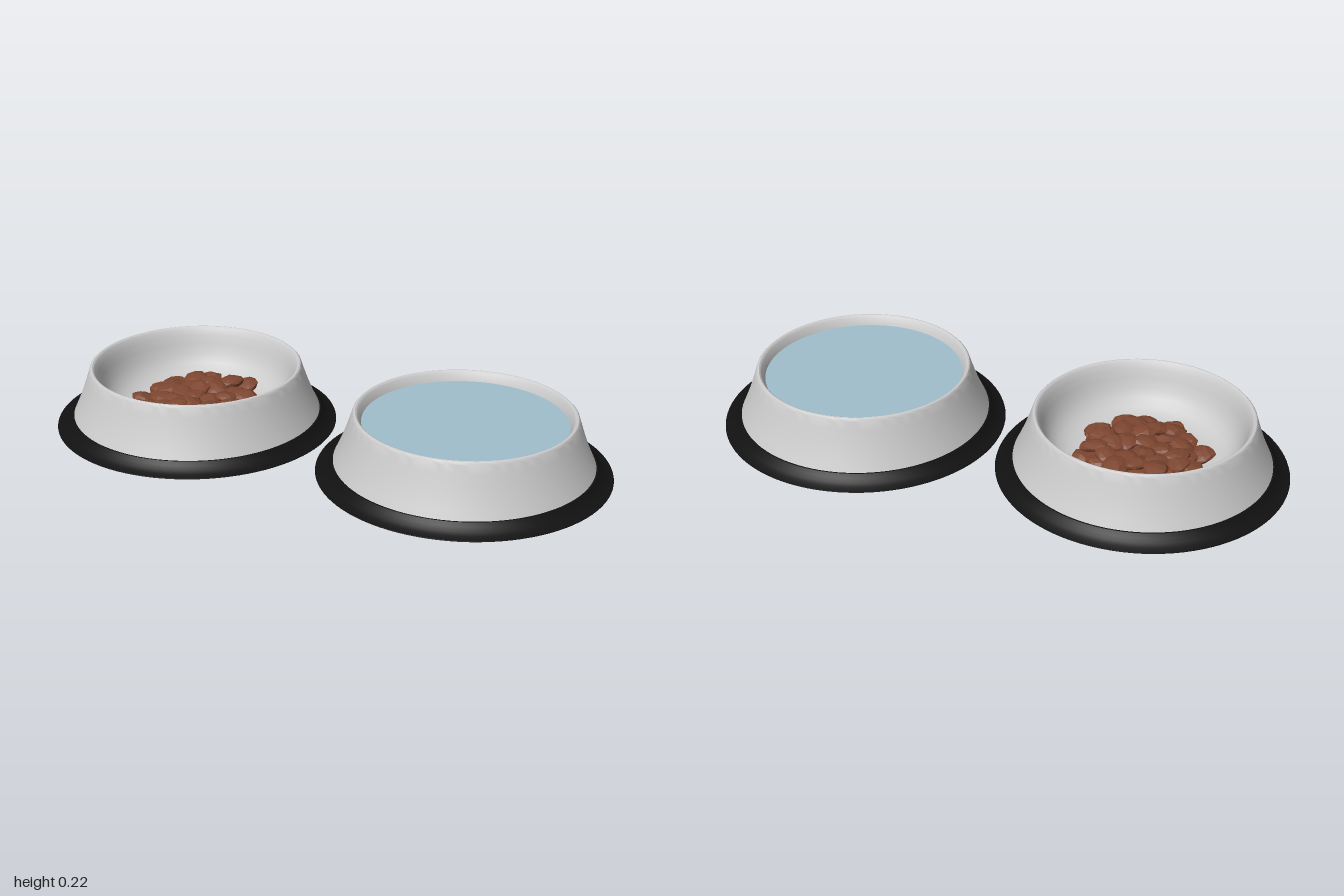
import * as THREE from 'three';
import { mergeVertices, toCreasedNormals } from 'three/addons/utils/BufferGeometryUtils.js';

const paint = (color, extra = {}) => new THREE.MeshStandardMaterial({ color, ...extra });
const steel = paint(0xcccccc);
const rubber = paint(0x111111);
const waterBlue = paint(0x9fbecb);
const kibbleBrown = paint(0x7d4630, { flatShading: true });

function seededRandom(seed) {
  return () => {
    seed = (seed * 16807) % 2147483647;
    return seed / 2147483647;
  };
}

function addMesh(parent, name, geometry, material) {
  const mesh = new THREE.Mesh(geometry, material);
  mesh.name = name;
  parent.add(mesh);
  return mesh;
}

// Turned part from [radius, height] pairs, with sharp edges kept
function turned(profile) {
  const points = profile.map(([r, y]) => new THREE.Vector2(r, y));
  return toCreasedNormals(new THREE.LatheGeometry(points, 96), 0.55);
}

// Flared steel shell: outer wall, rolled lip, inner wall and floor
const shellProfile = [
  [0.437, 0.05], [0.423, 0.08], [0.408, 0.115], [0.395, 0.15], [0.383, 0.185], [0.374, 0.213],
  [0.372, 0.219], [0.368, 0.223], [0.363, 0.224], [0.359, 0.222], [0.355, 0.217],
  [0.345, 0.195], [0.336, 0.165], [0.325, 0.13], [0.308, 0.1], [0.285, 0.077],
  [0.255, 0.062], [0.22, 0.056], [0.12, 0.055], [0, 0.055],
];

// Rubber foot: shallow underside, thin outer lip and concave skirt
const footProfile = [
  [0, 0], [0.28, 0.004], [0.44, 0.008], [0.485, 0.011], [0.495, 0.014], [0.494, 0.017],
  [0.476, 0.022], [0.462, 0.03], [0.45, 0.041], [0.441, 0.053], [0.425, 0.053],
];

function createBowl(name, x) {
  const bowl = new THREE.Group();
  bowl.name = name;
  bowl.position.x = x;
  addMesh(bowl, 'steelShell', turned(shellProfile), steel);
  addMesh(bowl, 'rubberFoot', turned(footProfile), rubber);
  return bowl;
}

// Irregular flattened pebble
function kibbleGeometry(random) {
  let geometry = new THREE.IcosahedronGeometry(1, 1);
  geometry.deleteAttribute('normal');
  geometry.deleteAttribute('uv');
  geometry = mergeVertices(geometry);
  const p = geometry.attributes.position;
  for (let i = 0; i < p.count; i++) {
    const s = 0.88 + random() * 0.24;
    p.setXYZ(i, p.getX(i) * s * 0.05, p.getY(i) * s * 0.02, p.getZ(i) * s * 0.042);
  }
  geometry.computeVertexNormals();
  return geometry;
}

// One layer of kibble laid out in a sunflower spiral
function addLayer(pile, count, radius, height, random) {
  for (let i = 0; i < count; i++) {
    const r = radius * Math.sqrt((i + 0.5) / count);
    const a = i * 2.39996 + height * 20;
    const piece = addMesh(pile, 'kibble', kibbleGeometry(random), kibbleBrown);
    piece.position.set(
      r * Math.cos(a) + (random() - 0.5) * 0.02,
      height + (random() - 0.5) * 0.012,
      r * Math.sin(a) + (random() - 0.5) * 0.02,
    );
    piece.rotation.set((random() - 0.5) * 0.6, random() * Math.PI * 2, (random() - 0.5) * 0.6);
  }
}

export function createModel() {
  const model = new THREE.Group();
  model.name = 'petBowls';

  const foodBowl = createBowl('foodBowl', -0.505);
  const pile = new THREE.Group();
  pile.name = 'kibblePile';
  pile.position.set(0.002, 0, -0.01);
  const random = seededRandom(71);
  addLayer(pile, 36, 0.2, 0.073, random);
  addLayer(pile, 22, 0.165, 0.096, random);
  foodBowl.add(pile);

  const waterBowl = createBowl('waterBowl', 0.505);
  const water = addMesh(waterBowl, 'water', new THREE.CircleGeometry(0.343, 96), waterBlue);
  water.rotation.x = -Math.PI / 2;
  water.position.y = 0.19;

  model.add(foodBowl, waterBowl);
  return model;
}
